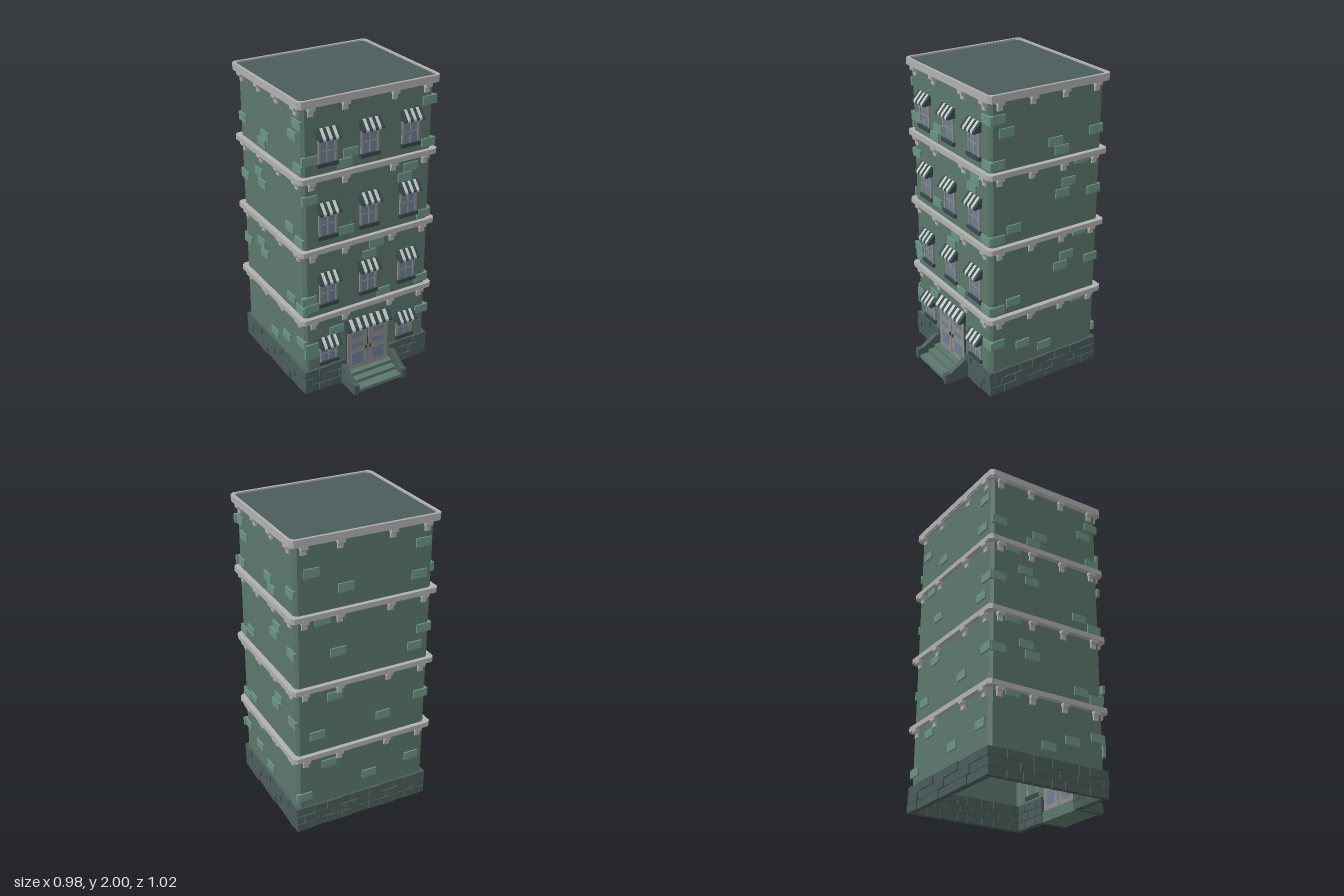
import * as THREE from 'three';

const mat = (color) => new THREE.MeshStandardMaterial({ color, flatShading: true, side: THREE.DoubleSide });
const M = {
  wall: mat(0x5b776b), accent: mat(0x6b9485), stone: mat(0x4a5c5a), dark: mat(0x36484a),
  trim: mat(0xb0b0b0), frame: mat(0x8f8b8b), glass: mat(0x6b7f96), light: mat(0xc4ccc6),
};
const CZ = -0.077;              // depth centre of the tower
const HX = 0.455, HZ = 0.405;   // half sizes of the walls

function box(parent, name, m, w, h, d, x, y, z) {
  const mesh = new THREE.Mesh(new THREE.BoxGeometry(w, h, d), m);
  mesh.name = name;
  mesh.position.set(x, y, z);
  parent.add(mesh);
  return mesh;
}

// Rectangle with cut corners
function outline(hx, hz, c, Type = THREE.Shape) {
  const p = [[hx - c, -hz], [hx, -hz + c], [hx, hz - c], [hx - c, hz],
    [-hx + c, hz], [-hx, hz - c], [-hx, -hz + c], [-hx + c, -hz]];
  return new Type(p.map(([x, y]) => new THREE.Vector2(x, y)));
}

// Horizontal slab or ring between two heights
function slab(parent, name, m, hx, hz, c, y0, y1, inset = 0) {
  const s = outline(hx, hz, c);
  if (inset) s.holes.push(outline(hx - inset, hz - inset, c, THREE.Path));
  const g = new THREE.ExtrudeGeometry(s, { depth: y1 - y0, bevelEnabled: false });
  g.rotateX(-Math.PI / 2);
  const mesh = new THREE.Mesh(g, m);
  mesh.name = name;
  mesh.position.set(0, y0, CZ);
  parent.add(mesh);
}

// Side profile of [z, y] points, extruded across x
function profile(parent, name, m, pts, w, x, y = 0, z = 0) {
  const s = new THREE.Shape(pts.map(([a, b]) => new THREE.Vector2(-a, b)));
  const g = new THREE.ExtrudeGeometry(s, { depth: w, bevelEnabled: false });
  g.translate(0, 0, -w / 2);
  g.rotateY(Math.PI / 2);
  const mesh = new THREE.Mesh(g, m);
  mesh.name = name;
  mesh.position.set(x, y, z);
  parent.add(mesh);
}

// Striped sloping awning
function awning(parent, x, top, width, n) {
  const g = new THREE.Group();
  g.name = 'awning';
  const w = width / n;
  for (let i = 0; i < n; i++) {
    profile(g, 'awningStripe', i % 2 ? M.light : M.dark,
      [[-0.005, 0], [0.006, 0], [0.052, -0.052], [0.052, -0.065], [-0.005, -0.06]], w, x - width / 2 + w * (i + 0.5), top);
  }
  parent.add(g);
}

// Window with frame, glazing bars, sill and awning
function windowUnit(parent, x, bottom, top) {
  const g = new THREE.Group();
  g.name = 'window';
  const y0 = bottom + 0.02, h = top - 0.055 - y0, cy = y0 + h / 2;
  box(g, 'windowGlass', M.glass, 0.12, h, 0.012, x, cy, 0);
  for (const s of [-1, 1]) box(g, 'windowJamb', M.frame, 0.014, h, 0.024, x + s * 0.056, cy, 0);
  box(g, 'windowMullion', M.frame, 0.01, h, 0.018, x, cy, 0);
  box(g, 'windowHead', M.frame, 0.12, 0.014, 0.024, x, y0 + h - 0.007, 0);
  box(g, 'windowBar', M.frame, 0.12, 0.008, 0.018, x, y0 + h * 0.45, 0);
  box(g, 'windowSill', M.dark, 0.14, 0.025, 0.04, x, bottom + 0.01, 0);
  awning(g, x, top, 0.147, 7);
  parent.add(g);
}

// Row of base stones, alternating long and short
function stoneRow(parent, from, to, row, seed) {
  const sizes = [0.105, 0.075, 0.125, 0.09];
  let u = from, i = seed + row * 2;
  while (u < to - 0.01) {
    let w = (u === from && row % 2) ? 0.055 : sizes[i % 4];
    if (to - u - w < 0.04) w = to - u;
    const d = 0.036 + (i % 3) * 0.003;
    box(parent, 'baseStone', M.stone, w - 0.005, 0.053, d, u + w / 2, 0.0285 + row * 0.0565, d / 2 - 0.024);
    u += w;
    i++;
  }
}

export function createModel() {
  const root = new THREE.Group();
  root.name = 'townBuilding';

  // Hollow walls and roof
  slab(root, 'walls', M.wall, HX, HZ, 0.02, 0.15, 1.97, 0.012);
  slab(root, 'roof', M.stone, 0.475, 0.42, 0.02, 1.97, 1.99);
  slab(root, 'roofLedge', M.trim, 0.488, 0.433, 0.02, 1.955, 2.0, 0.018);
  slab(root, 'roofLedgeUnderside', M.trim, 0.478, 0.423, 0.02, 1.95, 1.969);
  for (const y of [0.565, 1.045, 1.525]) slab(root, 'floorLedge', M.trim, 0.488, 0.433, 0.02, y - 0.033, y);

  // One group per wall, with local z pointing outward
  const sideBricks = [[0.28, 1.845], [0.22, 1.76], [-0.13, 1.635], [-0.175, 1.575], [0.28, 1.57], [-0.43, 1.655],
    [-0.235, 1.355], [-0.19, 1.29], [-0.43, 1.26], [0.165, 1.14], [0.28, 1.09], [-0.33, 1.485],
    [-0.235, 0.855], [-0.19, 0.79], [-0.43, 0.785], [0.165, 0.64], [0.28, 0.61], [-0.33, 1.0],
    [0.09, 0.31], [-0.08, 0.245], [0.28, 0.365], [-0.33, 0.525]];
  const frontBricks = [[-0.41, 1.625], [-0.13, 1.625], [-0.17, 1.565], [0.425, 1.845], [0.425, 1.57],
    [0.3, 1.435], [0.26, 1.375], [-0.41, 1.375], [-0.16, 1.12], [0.41, 1.085], [0.06, 0.97], [0.01, 0.905],
    [-0.41, 0.63], [-0.425, 0.69], [0.12, 0.6], [0.41, 0.61], [-0.23, 0.42], [-0.41, 0.34], [-0.41, 0.285], [0.425, 0.365]];
  const backBricks = [[-0.13, 1.65], [-0.35, 1.78], [0.38, 1.83], [0.36, 1.63], [-0.28, 1.47], [-0.18, 1.24], [0.41, 1.26],
    [0.35, 1.15], [-0.2, 0.94], [-0.32, 0.69], [0.14, 0.71], [0.41, 0.79], [-0.24, 0.46], [0.05, 0.29], [0.36, 0.33], [-0.41, 0.25]];
  const faces = [
    { name: 'frontWall', rot: 0, x: 0, z: CZ + HZ, half: HX, brackets: [0.17, 0.4], bricks: frontBricks },
    { name: 'leftWall', rot: Math.PI / 2, x: HX, z: CZ, half: HZ, brackets: [0.115, 0.345], bricks: sideBricks.map(([z, y]) => [CZ - z, y]) },
    { name: 'backWall', rot: Math.PI, x: 0, z: CZ - HZ, half: HX, brackets: [0.17, 0.4], bricks: backBricks },
    { name: 'rightWall', rot: -Math.PI / 2, x: -HX, z: CZ, half: HZ, brackets: [0.115, 0.345], bricks: sideBricks.map(([z, y]) => [z - CZ, y]) },
  ];
  faces.forEach((f, k) => {
    const g = new THREE.Group();
    g.name = f.name;
    g.position.set(f.x, 0, f.z);
    g.rotation.y = f.rot;
    root.add(g);
    f.bricks.forEach(([u, y]) => box(g, 'raisedBrick', M.accent, 0.1, 0.055, 0.02, u, y, 0));
    for (const top of [0.535, 1.015, 1.495, 1.955]) {
      for (const b of f.brackets) for (const s of [-1, 1]) {
        box(g, 'bracketCap', M.trim, 0.046, 0.022, 0.034, s * b, top - 0.011, 0.012);
        profile(g, 'bracket', M.trim, [[-0.005, 0], [0.024, 0], [0.022, -0.02], [0.012, -0.035], [0.012, -0.058], [-0.005, -0.058]],
          0.035, s * b, top);
      }
    }
    for (let row = 0; row < 3; row++) {
      const e = f.half + (k % 2 ? -0.02 : 0.016);
      if (k === 0) {
        stoneRow(g, -e, -0.165, row, 0);
        stoneRow(g, 0.165, e, row, 1);
      } else stoneRow(g, -e, e, row, k);
    }
  });

  // Windows
  const front = root.getObjectByName('frontWall');
  for (const x of [-0.29, 0, 0.29]) {
    for (const y of [0.625, 1.1, 1.575]) windowUnit(front, x, y, y + 0.237);
    if (x) windowUnit(front, x, 0.19, 0.39);
  }

  // Double door
  const door = new THREE.Group();
  door.name = 'door';
  front.add(door);
  for (const s of [-1, 1]) {
    box(door, 'doorLeaf', M.frame, 0.15, 0.34, 0.03, s * 0.079, 0.24, 0);
    for (const [y, h] of [[0.334, 0.036], [0.256, 0.036], [0.15, 0.09]]) box(door, 'doorPane', M.glass, 0.085, h, 0.034, s * 0.08, y, 0);
    box(door, 'doorHandle', M.dark, 0.01, 0.025, 0.045, s * 0.016, 0.22, 0);
  }
  box(door, 'doorBacking', M.dark, 0.312, 0.34, 0.02, 0, 0.24, 0);
  awning(door, 0, 0.453, 0.33, 13);

  // Entrance steps with side walls
  [[0.495, 0.023], [0.432, 0.047], [0.382, 0.07]].forEach(([z, y], i) =>
    box(root, 'step', M.wall, 0.34, 0.0235, z - 0.31, 0, y - 0.0117, (z + 0.31) / 2));
  for (const s of [-1, 1]) {
    profile(root, 'stepSideWall', M.stone, [[0.31, 0], [0.51, 0], [0.51, 0.07], [0.47, 0.07], [0.365, 0.135], [0.31, 0.135]], 0.034, s * 0.183);
  }
  return root;
}
